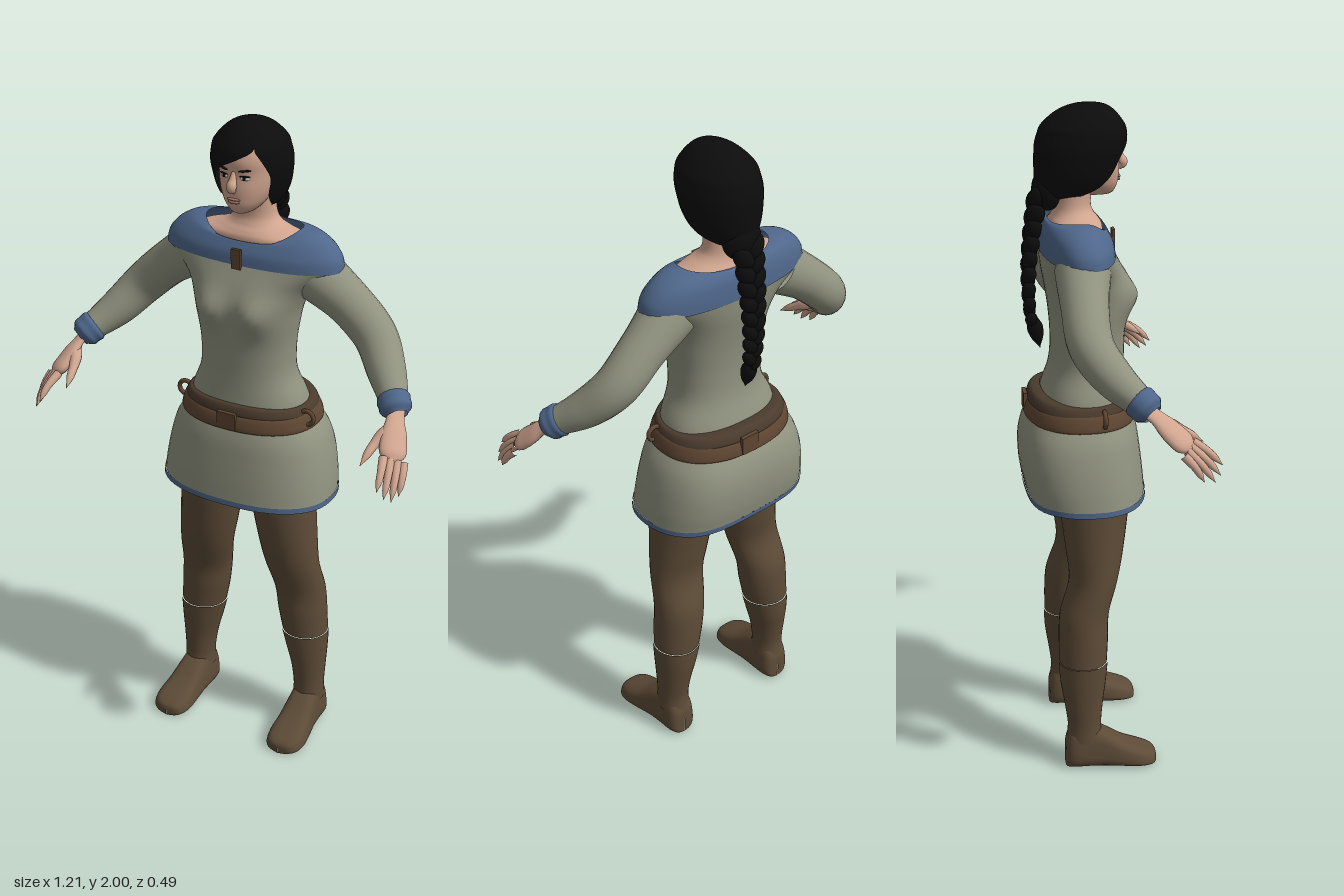
import * as THREE from 'three';
import { mergeVertices } from 'three/addons/utils/BufferGeometryUtils.js';

const paint = (name, color, side = THREE.FrontSide) => {
  const m = new THREE.MeshStandardMaterial({ color, side });
  m.name = name;
  return m;
};
const V = (x, y, z) => new THREE.Vector3(x, y, z);

// smooth interpolation through rows of numbers, t in 0..1
function sample(keys, t) {
  const f = t * (keys.length - 1), i = Math.min(Math.floor(f), keys.length - 2), u = f - i;
  const k = (n) => keys[Math.max(0, Math.min(keys.length - 1, n))];
  return keys[0].map((_, c) => {
    const [a, b, d, e] = [k(i - 1)[c], k(i)[c], k(i + 1)[c], k(i + 2)[c]];
    return b + 0.5 * u * (d - a + u * (2 * a - 5 * b + 4 * d - e + u * (3 * (b - d) + e - a)));
  });
}

function smooth(geo) {
  geo.deleteAttribute('uv');
  geo.deleteAttribute('normal');
  const g = mergeVertices(geo, 1e-5);
  g.computeVertexNormals();
  return g;
}

// grid surface: fn(u, v) gives a point
function sheet(nu, nv, fn) {
  const pos = [], idx = [];
  for (let j = 0; j <= nv; j++) for (let i = 0; i <= nu; i++) pos.push(...fn(i / nu, j / nv));
  for (let j = 0; j < nv; j++) for (let i = 0; i < nu; i++) {
    const a = j * (nu + 1) + i, b = a + nu + 1;
    idx.push(a, a + 1, b + 1, a, b + 1, b);
  }
  const g = new THREE.BufferGeometry();
  g.setAttribute('position', new THREE.Float32BufferAttribute(pos, 3));
  g.setIndex(idx);
  return smooth(g);
}

const pw = (v, p) => Math.sign(v) * Math.abs(v) ** p;

// stacked horizontal sections, keys [y, halfWidth, zFront, zBack], rising
function loft(keys, { cx = 0, p = 1, rows = 28, tweak = null } = {}) {
  return sheet(48, rows, (u, v) => {
    const [y, w, f, b] = sample(keys, v), a = u * Math.PI * 2;
    const q = [cx + w * pw(Math.sin(a), p), y, (f + b) / 2 + (f - b) / 2 * pw(Math.cos(a), p)];
    if (tweak) tweak(q, a, v);
    return q;
  });
}

// tapered tube, optionally flattened along a direction
function limb(points, radii, { seg = 24, sides = 16, dir = null, flat = 1 } = {}) {
  const path = new THREE.CatmullRomCurve3(points);
  const g = new THREE.TubeGeometry(path, seg, 1, sides, false);
  const pos = g.attributes.position, keys = radii.map((r) => [r]);
  for (let i = 0; i < pos.count; i++) {
    const t = Math.floor(i / (sides + 1)) / seg, c = path.getPointAt(t);
    const d = V(0, 0, 0).fromBufferAttribute(pos, i).sub(c).multiplyScalar(sample(keys, t)[0]);
    if (dir) d.addScaledVector(dir, (flat - 1) * d.dot(dir));
    pos.setXYZ(i, c.x + d.x, c.y + d.y, c.z + d.z);
  }
  return smooth(g);
}

export function createModel() {
  const cloth = paint('sage cloth', 0x919380, THREE.DoubleSide), blue = paint('blue trim', 0x4f678b, THREE.DoubleSide);
  const leather = paint('legging brown', 0x5d4b37), strap = paint('belt brown', 0x5f4632, THREE.DoubleSide);
  const lining = paint('dark leather', 0x4a3b2d, THREE.DoubleSide), skin = paint('skin', 0xd0a58f);
  const black = paint('black hair', 0x0c0c0d, THREE.DoubleSide), white = paint('eye white', 0xd8d2cc), lip = paint('lip', 0xa8766a);
  const root = new THREE.Group();
  const add = (name, geo, mat) => {
    const m = new THREE.Mesh(geo, mat);
    m.name = name;
    root.add(m);
    return m;
  };
  const blob = (name, mat, p, s, r = [0, 0, 0]) => {
    const m = add(name, new THREE.SphereGeometry(1, 20, 14), mat);
    m.position.set(...p); m.scale.set(...s); m.rotation.set(...r);
  };

  // tunic body with bust
  add('tunicBody', loft([[1.08, .19, .08, -.2], [1.16, .18, .07, -.18], [1.24, .148, .065, -.155], [1.32, .145, .066, -.15],
    [1.4, .155, .07, -.155], [1.47, .17, .07, -.165], [1.53, .205, .055, -.175], [1.586, .28, .03, -.18]], {
    p: .9, rows: 40, tweak: (q, a) => {
      if (Math.cos(a) > 0) q[2] += .034 * Math.exp(-(((Math.abs(q[0]) - .075) / .055) ** 2) - ((q[1] - 1.455) / .06) ** 2);
    } }), cloth);
  // blue yoke, dipping at the front of the neck
  add('collarYoke', loft([[1.585, .282, .032, -.182], [1.62, .274, .027, -.18], [1.655, .245, .015, -.175],
    [1.68, .2, .008, -.165], [1.688, .15, .004, -.155]], {
    p: .9, tweak: (q, a, v) => { const c = Math.cos(a); q[1] -= v * v * (c > 0 ? .052 : .014) * c * c; } }), blue);
  add('collarTab', new THREE.BoxGeometry(.03, .06, .009), strap).position.set(0, 1.605, .035);

  // skirt, hem and lining
  const lobes = (q, a) => { if (Math.cos(a) < 0) q[2] -= .012 * Math.sin(2 * a) ** 2; };
  const skirt = [[.862, .274, .122, -.233], [.92, .268, .117, -.243], [.99, .255, .109, -.245], [1.05, .236, .1, -.232], [1.1, .205, .085, -.205]];
  add('skirt', loft(skirt, { p: .85, tweak: lobes }), cloth);
  add('skirtLining', loft(skirt.map(([y, w, f, b]) => [y - .01, w - .008, f - .008, b + .008]), { p: .85, tweak: lobes }), lining);
  add('skirtHem', loft([[.847, .277, .125, -.233], [.864, .276, .124, -.235]], { p: .85, rows: 2, tweak: lobes }), blue);

  // belt, upper strap, buckle and side loops
  add('belt', loft([[1.085, .2, .08, -.21], [1.09, .218, .098, -.232], [1.13, .206, .09, -.222], [1.135, .19, .07, -.2]], { p: .88 }), strap);
  add('upperStrap', loft([[1.12, .18, .06, -.19], [1.125, .205, .086, -.22], [1.155, .195, .08, -.21], [1.16, .175, .06, -.18]], {
    p: .88, tweak: (q, a) => { q[1] += .005 * Math.cos(2 * a); } }), lining);
  add('buckle', new THREE.BoxGeometry(.06, .05, .012), strap).position.set(0, 1.118, .094);
  add('backBuckle', new THREE.BoxGeometry(.06, .055, .012), strap).position.set(.02, 1.12, -.226);

  // neck and shoulders
  add('neck', loft([[1.62, .2, 0, -.16], [1.655, .175, 0, -.155], [1.672, .12, -.008, -.15], [1.69, .08, -.022, -.142],
    [1.72, .063, -.03, -.135], [1.79, .06, -.02, -.13]]), skin);

  // head and face
  add('head', loft([[1.738, .001, 0, -.002], [1.742, .03, .03, -.07], [1.765, .053, .045, -.1], [1.79, .067, .05, -.12],
    [1.82, .076, .052, -.13], [1.86, .082, .05, -.14], [1.9, .083, .056, -.14], [1.94, .075, .045, -.13],
    [1.97, .045, .01, -.1], [1.98, .001, -.04, -.042]], { p: .95, rows: 40 }), skin);
  add('nose', limb([V(0, 1.87, .046), V(0, 1.845, .055), V(0, 1.825, .062), V(0, 1.812, .05)], [.006, .01, .015, .008]), skin);
  blob('upperLip', lip, [0, 1.789, .05], [.021, .004, .006]);
  blob('lowerLip', lip, [0, 1.781, .049], [.018, .005, .006]);
  for (const s of [1, -1]) {
    blob('eyeWhite', white, [s * .033, 1.853, .043], [.014, .006, .004], [0, s * .35, 0]);
    blob('iris', black, [s * .032, 1.853, .0465], [.005, .0055, .002], [0, s * .35, 0]);
    blob('upperLash', black, [s * .033, 1.859, .0445], [.016, .0022, .004], [0, s * .35, 0]);
    blob('eyebrow', black, [s * .034, 1.876, .047], [.019, .0032, .004], [0, s * .35, s * .12]);
  }

  // hair cap, open over the face: last two numbers are the opening's x limits
  const cap = [[1.735, .04, -.06, -.17, -.035, .035], [1.755, .075, .02, -.187, -.07, .07], [1.8, .1, .048, -.192, -.068, .082],
    [1.85, .111, .064, -.192, -.058, .093], [1.885, .113, .073, -.19, -.03, .088], [1.915, .108, .074, -.182, .025, .075],
    [1.94, .1, .067, -.17, .06, .06], [1.975, .068, .04, -.13, .04, .04], [1.994, .036, .01, -.085, .02, .02], [2, .001, -.035, -.038, 0, 0]];
  add('hair', sheet(48, 40, (u, v) => {
    const [y, w, f, b, x0, x1] = sample(cap, v);
    const angle = (x) => Math.asin(Math.max(-.99, Math.min(.99, x / w)));
    const a0 = angle(Math.max(x0, x1)), a = a0 + u * (Math.PI * 2 + angle(x0) - a0);
    return [w * Math.sin(a), y, (f + b) / 2 + (f - b) / 2 * Math.cos(a)];
  }), black);

  // braid of crossing locks ending in a tuft
  blob('braidRoot', black, [0, 1.755, -.155], [.06, .06, .045]);
  for (let i = 0; i < 17; i++) {
    const t = i / 16, s = i % 2 ? 1 : -1, r = .036 - .014 * t;
    blob('braidLock', black, [s * r * .5, 1.735 - .36 * t, -.182 - .03 * Math.sin(t * 2.2)], [r * .8, r * 1.15, r * .8], [0, 0, s * -.6]);
  }
  add('braidTuft', limb([V(0, 1.385, -.2), V(0, 1.355, -.196), V(0, 1.32, -.188), V(0, 1.285, -.18)], [.01, .023, .018, .001]), black);

  for (const s of [1, -1]) {
    const P = (x, y, z) => V(s * x, y, z);
    // sleeve and cuff
    add('sleeve', limb([P(.19, 1.565, -.08), P(.3, 1.485, -.09), P(.385, 1.405, -.085), P(.445, 1.335, -.035), P(.515, 1.268, .045)],
      [.08, .068, .064, .056, .04], { seg: 32, sides: 20 }), cloth);
    add('cuff', limb([P(.488, 1.293, .016), P(.508, 1.274, .038), P(.528, 1.253, .06)], [.034, .048, .047, .046, .03]), blue);
    // hand: flattened palm, four fingers, thumb
    const along = P(.045, -.085, .1), across = P(.07, -.03, -.04);
    const dir = along.clone().cross(across).normalize();
    add('palm', limb([P(.515, 1.265, .045), P(.53, 1.235, .08), P(.543, 1.2, .115), P(.557, 1.168, .15), P(.565, 1.15, .17)],
      [.028, .027, .036, .04, .037, .004], { dir, flat: .5 }), skin);
    const tips = [[.557, 1.108, .248], [.575, 1.085, .24], [.59, 1.072, .222], [.598, 1.078, .19]];
    tips.forEach(([x, y, z], i) => {
      const k = P(.538 + i * .016, 1.174 - i * .007, .168 - i * .011), tip = P(x, y, z);
      const mid = k.clone().lerp(tip, .5).addScaledVector(dir, s * .006);
      add('finger', limb([k, mid, tip], [.013, .0125, .011, .009, .001], { seg: 14, sides: 10 }), skin);
    });
    add('thumb', limb([P(.525, 1.23, .085), P(.502, 1.2, .135), P(.492, 1.175, .175), P(.486, 1.152, .208)],
      [.016, .019, .014, .011, .001], { sides: 10 }), skin);
    // belt side loop
    const loop = add('beltLoop', new THREE.TorusGeometry(.022, .007, 8, 20), strap);
    loop.position.set(s * .205, 1.125, -.02);

    // leg: keys [y, halfWidth, zFront, zBack, centreX]
    const leg = [[.09, .047, -.03, -.135, .2], [.14, .045, -.034, -.13, .2], [.21, .051, -.028, -.139, .197], [.28, .062, -.018, -.15, .19],
      [.345, .072, -.011, -.154, .183], [.42, .078, -.006, -.155, .174], [.5, .081, -.002, -.149, .166], [.6, .087, .026, -.12, .151],
      [.7, .093, .046, -.128, .137], [.85, .1, .065, -.146, .12], [1, .105, .07, -.17, .112]];
    const legPart = (name, keys, grow) => add(name, sheet(32, 40, (u, v) => {
      const [y, w, f, b, cx] = sample(keys, v), a = u * Math.PI * 2;
      return [s * cx + (w + grow) * Math.sin(a), y, (f + b) / 2 + ((f - b) / 2 + grow) * Math.cos(a)];
    }), leather);
    legPart('legging', leg.slice(4), 0);
    legPart('bootShaft', leg.slice(0, 5), .003);
    // foot: keys [z, halfWidth, height, centreX] from heel to toe
    const foot = [[-.14, .001, .05, .2], [-.138, .034, .09, .2], [-.115, .05, .13, .2], [-.07, .053, .136, .2], [-.025, .054, .118, .202],
      [.03, .06, .082, .205], [.08, .064, .06, .207], [.115, .056, .046, .207], [.134, .036, .034, .205], [.14, .001, .02, .204]];
    add('foot', sheet(32, 36, (u, v) => {
      const [z, w, h, cx] = sample(foot, v), a = u * Math.PI * 2, k = .5 + .5 * pw(Math.sin(a), .6);
      return [s * cx + w * pw(Math.cos(a), .6) * (1.06 - .25 * k), h * k, z];
    }), leather);
  }
  return root;
}
